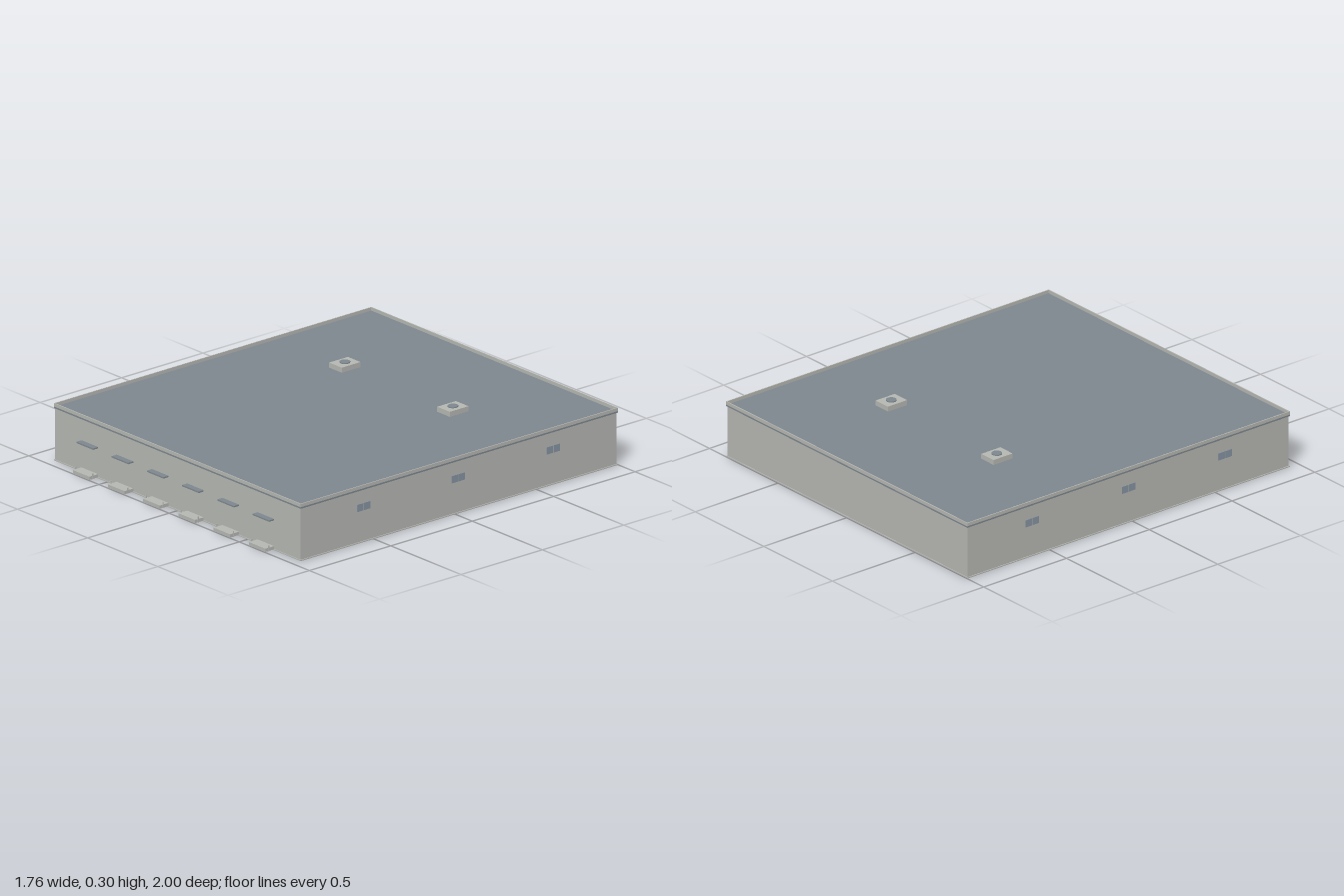
import * as THREE from 'three';

const mat = (name, color) => {
  const m = new THREE.MeshStandardMaterial({ color });
  m.name = name;
  return m;
};

export function createModel() {
  const model = new THREE.Group();
  model.name = 'warehouse';
  const wall = mat('wall grey', 0xb4b6b1);
  const slate = mat('roof slate', 0x7e878e);
  const glass = mat('window blue grey', 0x8592a0);

  // Box given by its min and max corners
  const box = (parent, name, material, [x0, y0, z0], [x1, y1, z1]) => {
    const mesh = new THREE.Mesh(new THREE.BoxGeometry(x1 - x0, y1 - y0, z1 - z0), material);
    mesh.position.set((x0 + x1) / 2, (y0 + y1) / 2, (z0 + z1) / 2);
    mesh.name = name;
    parent.add(mesh);
    return mesh;
  };
  const group = (name) => {
    const g = new THREE.Group();
    g.name = name;
    model.add(g);
    return g;
  };

  // Main hall on a thin plinth
  box(model, 'plinth', wall, [-0.88, 0, -0.998], [0.88, 0.005, 0.95]);
  box(model, 'walls', wall, [-0.875, 0.005, -0.994], [0.875, 0.26, 0.946]);

  // Roof deck sunk behind a thin parapet
  box(model, 'roofDeck', slate, [-0.88, 0.26, -1], [0.88, 0.268, 0.95]);
  const rim = new THREE.Shape([[-0.88, -0.95], [0.88, -0.95], [0.88, 1], [-0.88, 1]]
    .map(([x, y]) => new THREE.Vector2(x, y)));
  rim.holes.push(new THREE.Path([[-0.875, -0.945], [-0.875, 0.995], [0.875, 0.995], [0.875, -0.945]]
    .map(([x, y]) => new THREE.Vector2(x, y))));
  const parapet = new THREE.Mesh(
    new THREE.ExtrudeGeometry(rim, { depth: 0.016, bevelEnabled: false }).rotateX(-Math.PI / 2), wall);
  parapet.position.y = 0.268;
  parapet.name = 'parapet';
  model.add(parapet);

  // Rooftop ventilation units with round fans
  for (const x of [-0.387, 0.383]) {
    const unit = group('roofUnit');
    box(unit, 'unitBox', wall, [x - 0.045, 0.268, -0.47], [x + 0.045, 0.293, -0.355]);
    const fan = new THREE.Mesh(new THREE.CylinderGeometry(0.025, 0.025, 0.005, 20), slate);
    fan.position.set(x, 0.2955, -0.413);
    fan.name = 'fan';
    unit.add(fan);
  }

  // Loading docks along the front
  for (let i = 0; i < 6; i++) {
    const x = (i - 2.5) * 0.251;
    const dock = group('loadingDock');
    box(dock, 'canopy', slate, [x - 0.059, 0.147, 0.946], [x + 0.059, 0.154, 0.977]);
    box(dock, 'dockPlatform', wall, [x - 0.059, 0.003, 0.946], [x + 0.059, 0.019, 1]);
    for (const s of [-1, 1]) {
      const px = x + s * 0.06;
      box(dock, 'dockPost', wall, [px - 0.002, 0.003, 0.978], [px + 0.002, 0.032, 0.983]);
    }
  }

  // Paired windows on both long sides
  for (const side of [-1, 1]) {
    for (const z of [0.56, -0.022, -0.605]) {
      const pair = group('windowPair');
      for (const dz of [-0.021, 0.021]) {
        box(pair, 'windowPane', glass,
          [side * 0.8755 - 0.002, 0.157, z + dz - 0.019], [side * 0.8755 + 0.002, 0.193, z + dz + 0.019]);
      }
    }
  }
  return model;
}
